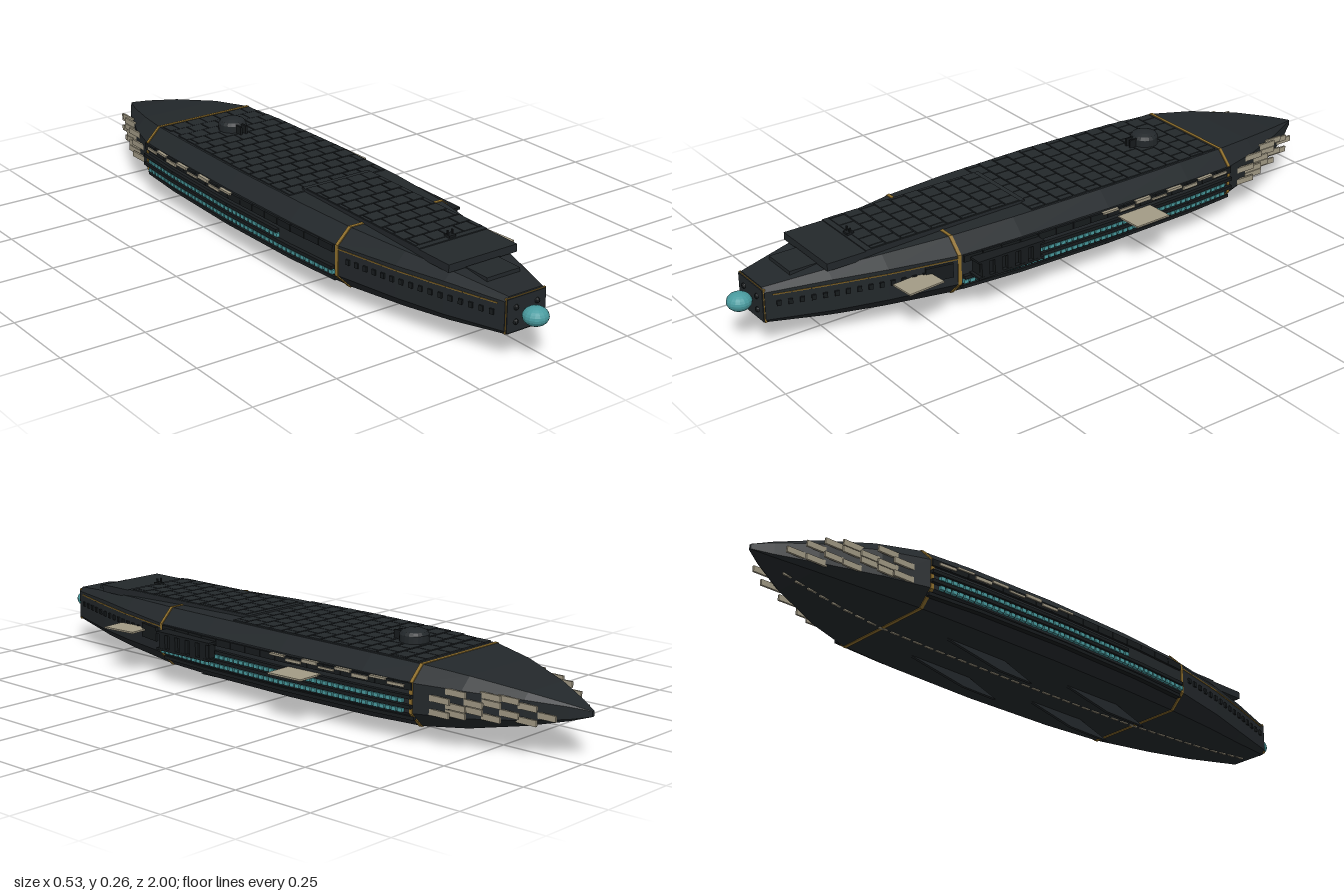
import * as THREE from 'three';
import { mergeGeometries } from 'three/addons/utils/BufferGeometryUtils.js';

const CX = -0.042; // hull centre line
const mat = (color) => new THREE.MeshStandardMaterial({ color, flatShading: true, side: THREE.DoubleSide });
const dark = mat(0x23282b), darker = mat(0x171b1d), gold = mat(0x8f6f2c);
const beige = mat(0xa39b86), teal = mat(0x4a9ca0);

// Hull stations: z, half width, bottom, top
const STATIONS = [
  [0.925, 0.068, 0.075, 0.18], [0.75, 0.12, 0.058, 0.197], [0.6, 0.16, 0.049, 0.206],
  [0.4, 0.2, 0.039, 0.212], [0.2, 0.213, 0.036, 0.215], [-0.1, 0.219, 0.035, 0.216],
  [-0.4, 0.213, 0.037, 0.214], [-0.57, 0.203, 0.041, 0.21], [-0.7, 0.163, 0.054, 0.196],
  [-0.85, 0.094, 0.08, 0.17], [-0.95, 0.036, 0.103, 0.147], [-1, 0.004, 0.118, 0.133],
];

function section(z) {
  let i = 0;
  while (i < STATIONS.length - 2 && z < STATIONS[i + 1][0]) i++;
  const a = STATIONS[i], b = STATIONS[i + 1];
  const t = THREE.MathUtils.clamp((a[0] - z) / (a[0] - b[0]), 0, 1);
  const [w, bot, top] = [1, 2, 3].map((k) => THREE.MathUtils.lerp(a[k], b[k], t));
  return { w, bot, top, c: 0.043 * Math.min(1, Math.pow(w / 0.2, 1.2)) };
}

// Half width of the hull at a given height
function sideAt(z, y) {
  const { w, bot, top, c } = section(z);
  return w - Math.max(0, y - (top - c), bot + c - y);
}

// Octagonal ring, counter-clockwise seen from the front
function ring(z, grow) {
  const s = section(z), w = s.w + grow, t = s.top + grow, b = s.bot - grow, c = s.c;
  return [[w, b + c], [w, t - c], [w - c, t], [-w + c, t], [-w, t - c], [-w, b + c], [-w + c, b], [w - c, b]]
    .map(([x, y]) => [CX + x, y, z]);
}

function loft(zs, grow = 0) {
  const rings = zs.map((z) => ring(z, grow)), pos = [];
  const mid = (z) => [CX, (section(z).top + section(z).bot) / 2, z];
  const first = rings[0], last = rings[rings.length - 1];
  for (let i = 0; i < 8; i++) {
    const j = (i + 1) % 8;
    for (let k = 0; k < rings.length - 1; k++) {
      const a = rings[k], b = rings[k + 1];
      pos.push(...a[i], ...b[i], ...b[j], ...a[i], ...b[j], ...a[j]);
    }
    pos.push(...mid(zs[0]), ...first[i], ...first[j]);
    pos.push(...mid(zs[zs.length - 1]), ...last[j], ...last[i]);
  }
  const g = new THREE.BufferGeometry();
  g.setAttribute('position', new THREE.Float32BufferAttribute(pos, 3));
  g.computeVertexNormals();
  return g;
}

const box = (w, h, d, x, y, z, ry = 0) => new THREE.BoxGeometry(w, h, d).rotateY(ry).translate(x, y, z);

// Box lying on the flank, turned to follow the hull
function flankBox(side, y, z, h, len, thick, out = 0) {
  const slope = (sideAt(z + len / 2, y) - sideAt(z - len / 2, y)) / len;
  return box(thick, h, len, CX + side * (sideAt(z, y) + out), y, z, side * Math.atan(slope));
}

export function createModel() {
  const model = new THREE.Group();
  const add = (name, geo, material) => {
    const mesh = new THREE.Mesh(Array.isArray(geo) ? mergeGeometries(geo) : geo, material);
    mesh.name = name;
    model.add(mesh);
    return mesh;
  };

  add('hull', loft(STATIONS.map((s) => s[0])), dark);
  for (const z of [0.4, -0.565]) add('goldBand', loft([z + 0.005, z - 0.005], 0.002), gold);

  // Raised foredeck, with a notched front block
  add('foredeck', [
    box(0.229, 0.024, 0.52, CX, 0.212, 0.38),
    box(0.229, 0.024, 0.015, CX, 0.212, 0.632),
    ...[-1, 1].map((s) => box(0.057, 0.022, 0.12, CX + s * 0.086, 0.21, 0.7)),
    box(0.115, 0.02, 0.12, CX, 0.211, 0.7),
    box(0.11, 0.012, 0.1, CX, 0.193, 0.79),
  ], dark);

  // Staggered deck tiles
  const tiles = [];
  for (let row = 0; row < 24; row++) {
    const z = 0.6 - row * 0.049, s = section(z), onFore = z > 0.12;
    const half = onFore ? 0.112 : s.w - s.c - 0.006;
    for (let x = -0.2 + (row % 2) * 0.025; x < 0.2; x += 0.05) {
      const x0 = Math.max(x, -half), x1 = Math.min(x + 0.047, half);
      if (x1 - x0 > 0.008) {
        tiles.push(box(x1 - x0, 0.005, 0.045, CX + (x0 + x1) / 2, onFore ? 0.2235 : s.top + 0.001, z));
      }
    }
  }
  add('deckTiles', tiles, dark);

  // Turret dome and its twin barrels
  const dome = [[0.042, 0.212], [0.042, 0.238], [0.036, 0.247], [0.022, 0.253], [0, 0.256]]
    .map(([r, y]) => new THREE.Vector2(r, y));
  add('turretDome', new THREE.LatheGeometry(dome, 20).translate(CX, 0, -0.405), dark);
  add('turretBarrels', [-1, 1].map((s) => box(0.006, 0.03, 0.03, CX + s * 0.009, 0.227, -0.357)), darker);
  add('deckGun', [
    box(0.022, 0.007, 0.022, CX, 0.227, 0.625),
    ...[-1, 1].map((s) => box(0.004, 0.016, 0.005, CX + s * 0.008, 0.235, 0.625)),
  ], darker);

  // Nose plate, orb and its mounts
  add('nosePlateRim', box(0.132, 0.098, 0.006, CX, 0.127, 0.924), gold);
  add('nosePlate', box(0.128, 0.094, 0.008, CX, 0.127, 0.926), dark);
  add('noseOrb', new THREE.SphereGeometry(0.035, 16, 12).scale(1, 0.74, 1).translate(CX, 0.127, 0.965), teal);
  const mounts = [];
  for (const sx of [-1, 1]) for (const sy of [-1, 1]) {
    mounts.push(new THREE.SphereGeometry(0.008, 8, 6).translate(CX + sx * 0.035, 0.127 + sy * 0.02, 0.93));
  }
  add('noseMounts', mounts, darker);

  // Flanks: window rows, ledges, upper strakes and bow ribs
  const windows = [], ledges = [], strakes = [], ribs = [], seams = [];
  for (const side of [-1, 1]) {
    for (let z = 0.385; z > -0.55; z -= 0.02) {
      windows.push(flankBox(side, 0.09, z, 0.011, 0.015, 0.012, 0.004));
      if (z < 0.15) windows.push(flankBox(side, 0.117, z, 0.011, 0.015, 0.012, 0.004));
    }
    for (let z = 0.36; z > -0.55; z -= 0.06) {
      for (const y of [0.069, 0.103, 0.13]) {
        if (y < 0.12 || z < 0.15) ledges.push(flankBox(side, y, z, 0.01, 0.061, 0.016, 0.004));
      }
      ledges.push(flankBox(side, 0.158, z, 0.02, 0.058, 0.01, 0.002));
    }
    for (let i = 0; i < 8; i++) {
      strakes.push(flankBox(side, 0.166 - (i % 2) * 0.008, -0.1 - i * 0.06, 0.006 + (i % 3) * 0.002, 0.055, 0.01, 0.006));
    }
    for (let z = 0.44; z < 0.9; z += 0.03) ribs.push(flankBox(side, 0.133, z, 0.015, 0.012, 0.008, 0.001));
    for (let z = 0.43; z < 0.9; z += 0.05) seams.push(flankBox(side, 0.16, z, 0.003, 0.05, 0.004, 0));
  }
  add('windows', windows, teal);
  add('flankLedges', ledges, darker);
  add('upperStrakes', strakes, beige);
  add('bowRibs', ribs, darker);
  add('bowSeams', seams, gold);

  // Stern plates: thin fore-and-aft slats in a broken pattern
  const plates = [];
  for (const side of [-1, 1]) {
    for (let i = 0; i < 7; i++) for (let j = 0; j < 4; j++) {
      if ((i * 2 + j * 3) % 5 > 2) continue;
      const z = -0.635 - i * 0.043, y = 0.095 + j * 0.019 + (i % 2) * 0.004;
      if (y > section(z).top - 0.015 || y < section(z).bot + 0.015) continue;
      plates.push(box(0.006, 0.017, 0.065, CX + side * (sideAt(z, y) + 0.004), y, z - 0.012));
    }
  }
  add('sternPlates', plates, beige);

  // Left-side landing platforms and hangar block
  add('landingPlatform', [
    box(0.09, 0.005, 0.12, 0.215, 0.135, -0.195, 0.03),
    box(0.075, 0.005, 0.115, 0.17, 0.135, 0.54, 0.08),
  ], beige);
  const hangar = [box(0.035, 0.045, 0.2, 0.178, 0.133, 0.26)];
  for (let i = 0; i < 5; i++) hangar.push(box(0.02, 0.05, 0.025, 0.197, 0.13, 0.175 + i * 0.043));
  hangar.push(box(0.055, 0.007, 0.22, 0.18, 0.157, 0.26), box(0.055, 0.007, 0.22, 0.18, 0.108, 0.26));
  hangar.push(flankBox(1, 0.133, 0.46, 0.042, 0.08, 0.012, 0.002));
  add('hangarBlock', hangar, darker);

  // Swept belly fins in pairs
  const fins = [];
  for (const [z0, z1, z2, z3] of [[0.36, 0.21, 0, 0.22], [-0.09, -0.21, -0.45, -0.22]]) {
    const shape = new THREE.Shape([[z0, 0], [z1, 0.002], [z2, 0.045], [z3, 0.045]].map((p) => new THREE.Vector2(...p)));
    for (const s of [-1, 1]) {
      const g = new THREE.ExtrudeGeometry(shape, { depth: 0.009, bevelEnabled: false });
      fins.push(g.rotateY(-Math.PI / 2).translate(CX + s * 0.075 + 0.0045, 0, 0));
    }
  }
  add('bellyFins', fins, dark);

  // Keel strip follows the belly
  const keel = [];
  for (let z = 0.88; z > -0.9; z -= 0.04) keel.push(box(0.006, 0.006, 0.028, CX, section(z).bot, z));
  add('keelStrip', keel, beige);

  return model;
}
